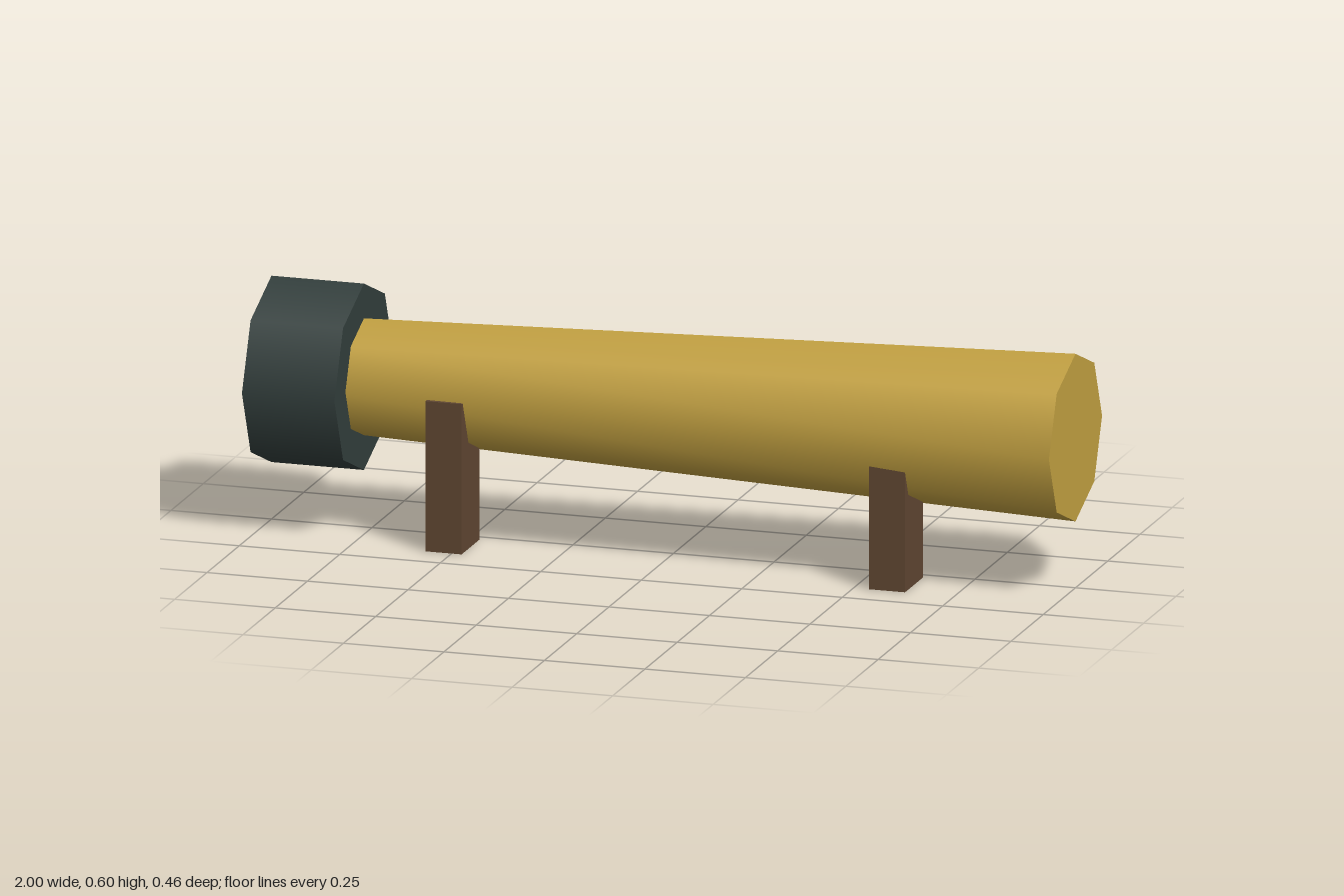
import * as THREE from 'three';

function mat(name, color) {
  const m = new THREE.MeshStandardMaterial({ color });
  m.name = name;
  return m;
}

export function createModel() {
  const group = new THREE.Group();
  group.name = 'barrelOnStand';
  const brass = mat('brass', 0xc4a242);
  const iron = mat('dark iron', 0x333f3d);
  const wood = mat('dark wood', 0x604732);
  const axisY = 0.369;

  // eight-sided tube lying along x, smooth around its sides
  function tube(name, x0, x1, r0, r1, material) {
    const geo = new THREE.CylinderGeometry(r1, r0, x1 - x0, 8);
    geo.rotateZ(-Math.PI / 2);
    const mesh = new THREE.Mesh(geo, material);
    mesh.position.set((x0 + x1) / 2, axisY, 0);
    mesh.name = name;
    group.add(mesh);
  }

  // tapered barrel and the heavy cap at its narrow end
  tube('barrel', -0.9, 1, 0.139, 0.206, brass);
  tube('endCap', -1, -0.77, 0.229, 0.229, iron);

  // two posts under the front side of the barrel
  for (const [name, x] of [['rightPost', -0.52], ['leftPost', 0.583]]) {
    const post = new THREE.Mesh(new THREE.BoxGeometry(0.09, axisY, 0.138), wood);
    post.position.set(x, axisY / 2, 0.093);
    post.name = name;
    group.add(post);
  }
  return group;
}
